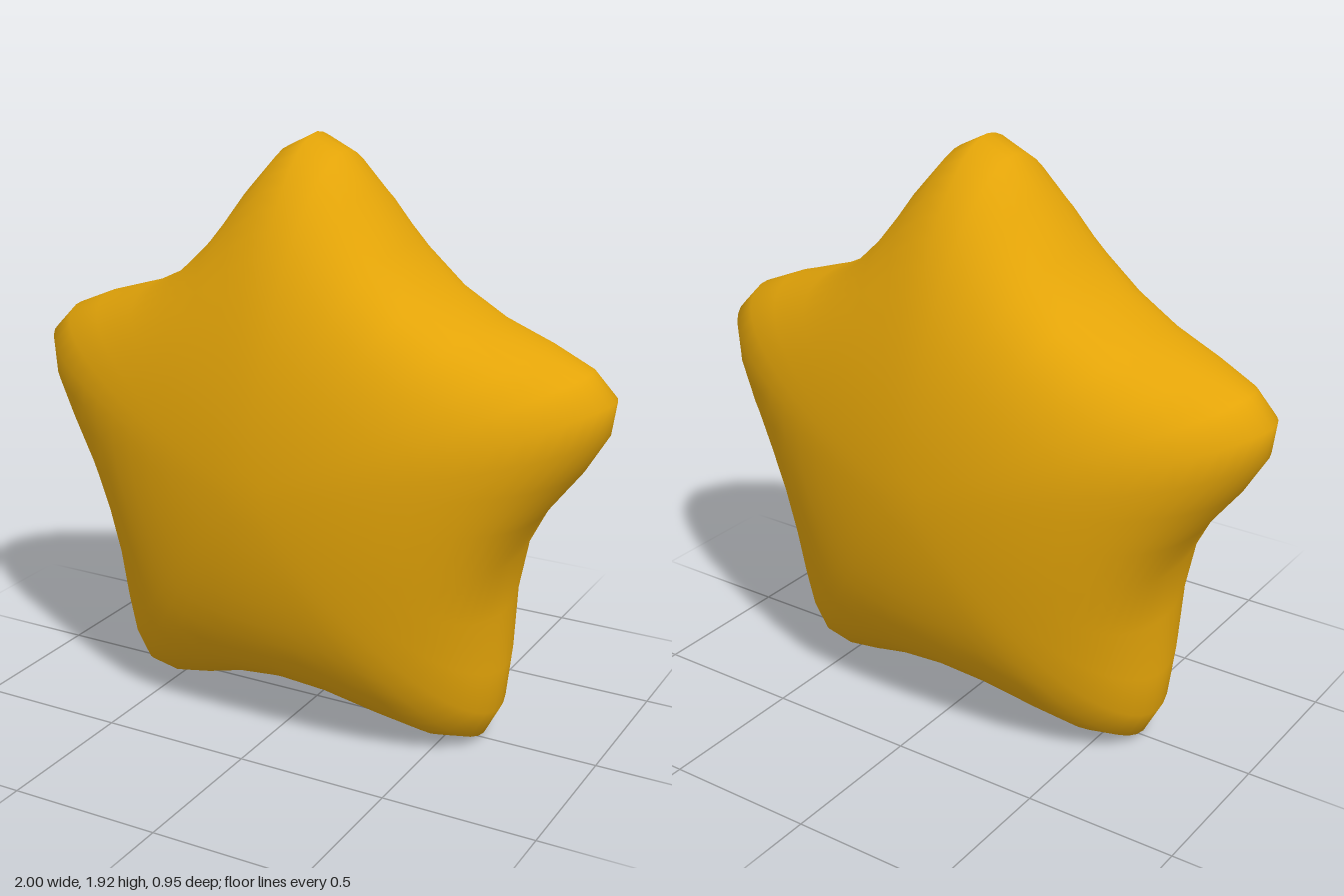
import * as THREE from 'three';
import { mergeVertices } from 'three/addons/utils/BufferGeometryUtils.js';

const STEP = Math.PI / 20; // 40 segments around, 8 per arm
// Half an arm, tip to valley: [degrees from tip, radius]
const ARM = [[0, 1.05], [5.7, 1.005], [12.6, 0.908], [23, 0.788], [36, 0.735]];
const TIP = ARM[0][1];
const DEPTH = 0.475;
const CENTRE_Y = 0.87;
const ROUND = 1.093; // a touch leaner than an ellipse

// Map an evenly spaced ring index to an angle and radius on the star outline
function outline(index) {
  const arm = Math.round(index / 8);
  const k = index - arm * 8;
  const [deg, radius] = ARM[Math.abs(k)];
  const angle = arm * Math.PI * 0.4 + Math.sign(k) * THREE.MathUtils.degToRad(deg);
  return [angle, radius];
}

export function createModel() {
  const group = new THREE.Group();
  group.name = 'star';

  const gold = new THREE.MeshStandardMaterial({ color: 0xe3a408 });
  gold.name = 'gold';

  // Sphere with its poles on the z axis, welded so the shading is seamless
  let geometry = new THREE.SphereGeometry(1, 40, 32).rotateX(Math.PI / 2);
  geometry.deleteAttribute('uv');
  geometry.deleteAttribute('normal');
  geometry = mergeVertices(geometry, 1e-4);

  // Rings are round near the puffed centre and become the star at the rim
  const p = geometry.attributes.position;
  for (let i = 0; i < p.count; i++) {
    const x = p.getX(i), y = p.getY(i), z = p.getZ(i);
    const [angle, radius] = outline(Math.round(Math.atan2(x, y) / STEP));
    const s = Math.pow(Math.hypot(x, y), ROUND);
    const r = s * THREE.MathUtils.lerp(TIP, radius, s * s);
    const depth = Math.sign(z) * DEPTH * Math.pow(Math.abs(z), ROUND);
    p.setXYZ(i, r * Math.sin(angle), CENTRE_Y + r * Math.cos(angle), depth);
  }
  geometry.computeVertexNormals();

  const body = new THREE.Mesh(geometry, gold);
  body.name = 'starBody';
  group.add(body);
  return group;
}
